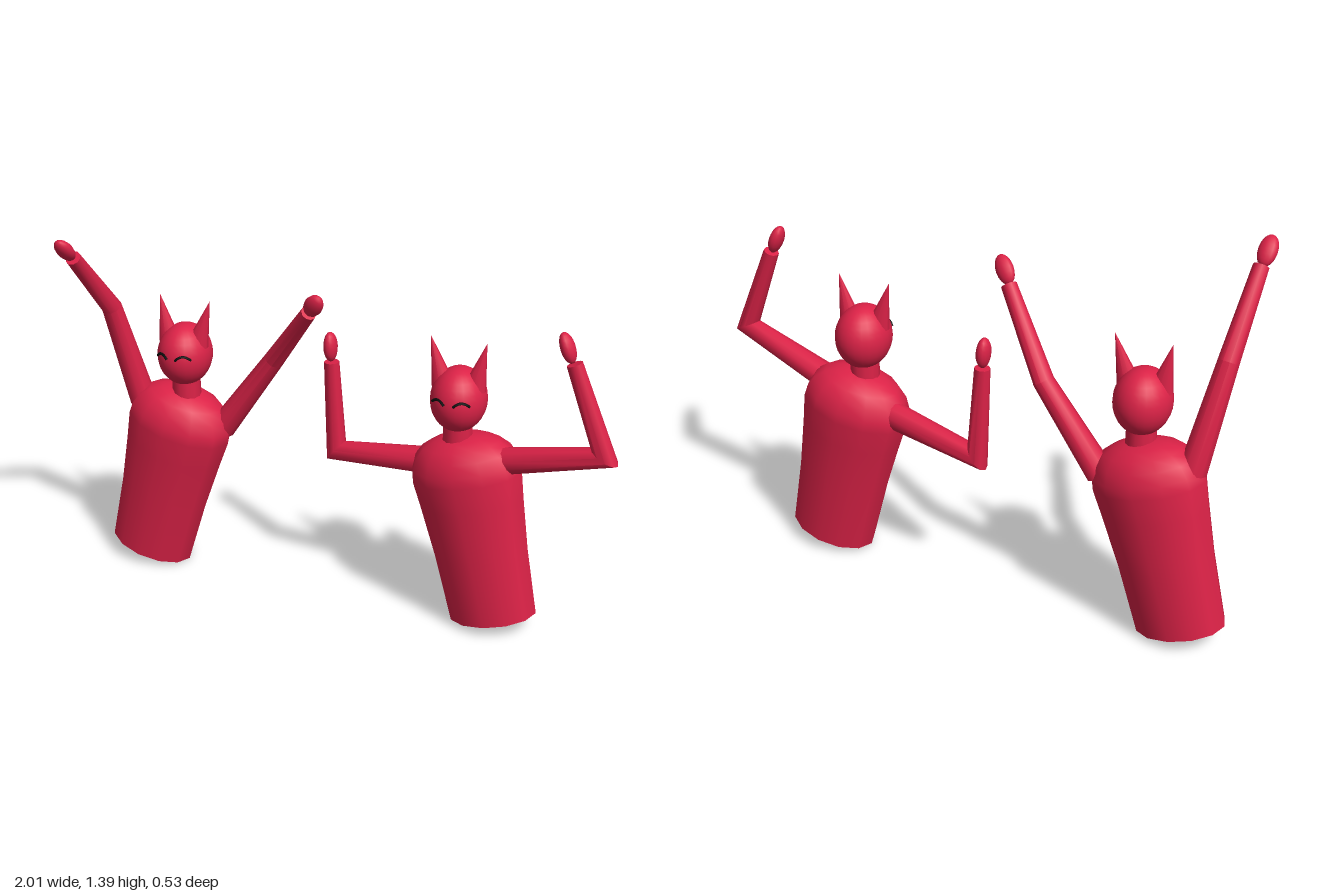
import * as THREE from 'three';
import { toCreasedNormals } from 'three/addons/utils/BufferGeometryUtils.js';

const V = (a) => new THREE.Vector3(...a);

const red = new THREE.MeshStandardMaterial({ color: 0xdc2247, side: THREE.DoubleSide });
red.name = 'crimson';
const black = new THREE.MeshStandardMaterial({ color: 0x0a0a0a });
black.name = 'black';

function add(parent, name, geometry, material = red) {
  const mesh = new THREE.Mesh(geometry, material);
  mesh.name = name;
  parent.add(mesh);
  return mesh;
}

// Tapered two-bone limb with a mitred elbow and closed ends
function limbGeometry(points, radii, sides = 10) {
  const d0 = points[1].clone().sub(points[0]).normalize();
  const d1 = points[2].clone().sub(points[1]).normalize();
  const bisector = d0.clone().add(d1).normalize();
  const e1 = new THREE.Vector3(0, 0, 1).cross(d0).normalize();
  const e2 = d0.clone().cross(e1);
  const slide = (o, d, n) => o.clone().addScaledVector(d, -o.dot(n) / d.dot(n));
  const pos = [], index = [];
  for (let j = 0; j < sides; j++) {
    const a = (j / sides) * Math.PI * 2;
    const o0 = e1.clone().multiplyScalar(Math.cos(a)).addScaledVector(e2, Math.sin(a));
    const o1 = slide(o0, d0, bisector);
    const o2 = slide(o1, d1, d1);
    [o0, o1, o2].forEach((o, i) => pos.push(...o.multiplyScalar(radii[i]).add(points[i]).toArray()));
  }
  pos.push(...points[0].toArray(), ...points[2].toArray());
  const start = sides * 3, end = start + 1;
  for (let j = 0; j < sides; j++) {
    const a = j * 3, b = ((j + 1) % sides) * 3;
    for (let i = 0; i < 2; i++) index.push(a + i, b + i, b + i + 1, a + i, b + i + 1, a + i + 1);
    index.push(start, b, a, end, a + 2, b + 2);
  }
  const g = new THREE.BufferGeometry();
  g.setAttribute('position', new THREE.Float32BufferAttribute(pos, 3));
  g.setIndex(index);
  return toCreasedNormals(g, 0.7);
}

function addArm(parent, side, arm) {
  const group = new THREE.Group();
  group.name = side + 'Arm';
  parent.add(group);
  const points = [arm.shoulder, arm.elbow, arm.wrist].map(V);
  add(group, side + 'Sleeve', limbGeometry(points, [0.05, 0.037, 0.028]));

  // Flattened oval hand, aligned with the forearm
  const hand = add(group, side + 'Hand', new THREE.SphereGeometry(1, 14, 10));
  const along = points[2].clone().sub(points[1]).normalize();
  const wide = V(arm.wide);
  wide.addScaledVector(along, -wide.dot(along)).normalize();
  const thin = wide.clone().cross(along);
  hand.quaternion.setFromRotationMatrix(new THREE.Matrix4().makeBasis(wide, along, thin));
  hand.scale.set(0.034, 0.056, 0.025);
  hand.position.copy(V(arm.hand));
}

function addHead(parent, x, z, earShift) {
  const head = new THREE.Group();
  head.name = 'head';
  head.position.set(x, 0.88, z);
  parent.add(head);
  const size = [0.1, 0.118, 0.113];
  add(head, 'skull', new THREE.SphereGeometry(1, 24, 16)).scale.set(...size);
  add(head, 'neck', new THREE.CylinderGeometry(0.052, 0.054, 0.14, 12)).position.y = -0.13;

  for (const s of [-1, 1]) {
    const side = s > 0 ? 'left' : 'right';
    // Pointed ear leaning outwards
    const base = V([s * 0.058, 0.05, 0.008]);
    const tip = V([s * 0.102 + earShift, 0.222, 0.005]);
    const dir = tip.clone().sub(base);
    const ear = add(head, side + 'Ear', new THREE.ConeGeometry(0.042, dir.length(), 10));
    ear.scale.z = 0.72;
    ear.quaternion.setFromUnitVectors(new THREE.Vector3(0, 1, 0), dir.clone().normalize());
    ear.position.copy(base).add(tip).multiplyScalar(0.5);

    // Closed smiling eye: an arc lying on the face
    const arc = [];
    for (let i = 0; i <= 6; i++) {
      const t = i / 3 - 1;
      const px = s * 0.042 + t * 0.026, py = 0.013 + 0.015 * (1 - t * t);
      const pz = size[2] * Math.sqrt(1 - (px / size[0]) ** 2 - (py / size[1]) ** 2);
      arc.push(new THREE.Vector3(px, py, pz + 0.003));
    }
    add(head, side + 'Eye', new THREE.TubeGeometry(new THREE.CatmullRomCurve3(arc), 12, 0.005, 6), black);
  }
}

// Torso outline: radius, height
const torsoProfile = [
  [0.166, 0], [0.178, 0.26], [0.196, 0.46], [0.207, 0.56], [0.202, 0.6],
  [0.182, 0.645], [0.145, 0.68], [0.1, 0.7], [0.055, 0.712], [0, 0.714],
].map(([r, y]) => new THREE.Vector2(r, y));

const figures = [
  {
    name: 'rightFigure', base: [-0.84, 0.043, -0.115], lean: -0.26, headX: -0.656, headZ: -0.108, earShift: 0.01,
    right: { shoulder: [-0.845, 0.66, -0.11], elbow: [-0.915, 1.05, -0.035], wrist: [-0.93, 1.305, 0.18],
      hand: [-0.936, 1.345, 0.22], wide: [1, 0, 0] },
    left: { shoulder: [-0.53, 0.585, -0.145], elbow: [-0.315, 0.89, -0.155], wrist: [-0.115, 1.15, -0.02],
      hand: [-0.085, 1.19, 0.008], wide: [1, -0.6, 0] },
  },
  {
    name: 'leftFigure', base: [0.57, 0.043, -0.12], lean: 0.215, headX: 0.415, headZ: -0.11, earShift: -0.005,
    right: { shoulder: [0.29, 0.605, -0.14], elbow: [-0.082, 0.553, -0.19], wrist: [-0.1, 0.905, -0.188],
      hand: [-0.104, 0.963, -0.187], wide: [0, 0, 1] },
    left: { shoulder: [0.58, 0.67, -0.105], elbow: [0.957, 0.78, -0.052], wrist: [0.833, 1.1, -0.05],
      hand: [0.806, 1.153, -0.052], wide: [0, 0, 1] },
  },
];

export function createModel() {
  const model = new THREE.Group();
  model.name = 'wavingPair';
  for (const f of figures) {
    const figure = new THREE.Group();
    figure.name = f.name;
    model.add(figure);
    // Leaning body, open underneath
    const torso = add(figure, 'torso', new THREE.LatheGeometry(torsoProfile, 12));
    torso.position.set(...f.base);
    torso.rotation.z = f.lean;
    torso.scale.z = 0.72;
    addHead(figure, f.headX, f.headZ, f.earShift);
    addArm(figure, 'right', f.right);
    addArm(figure, 'left', f.left);
  }
  return model;
}
